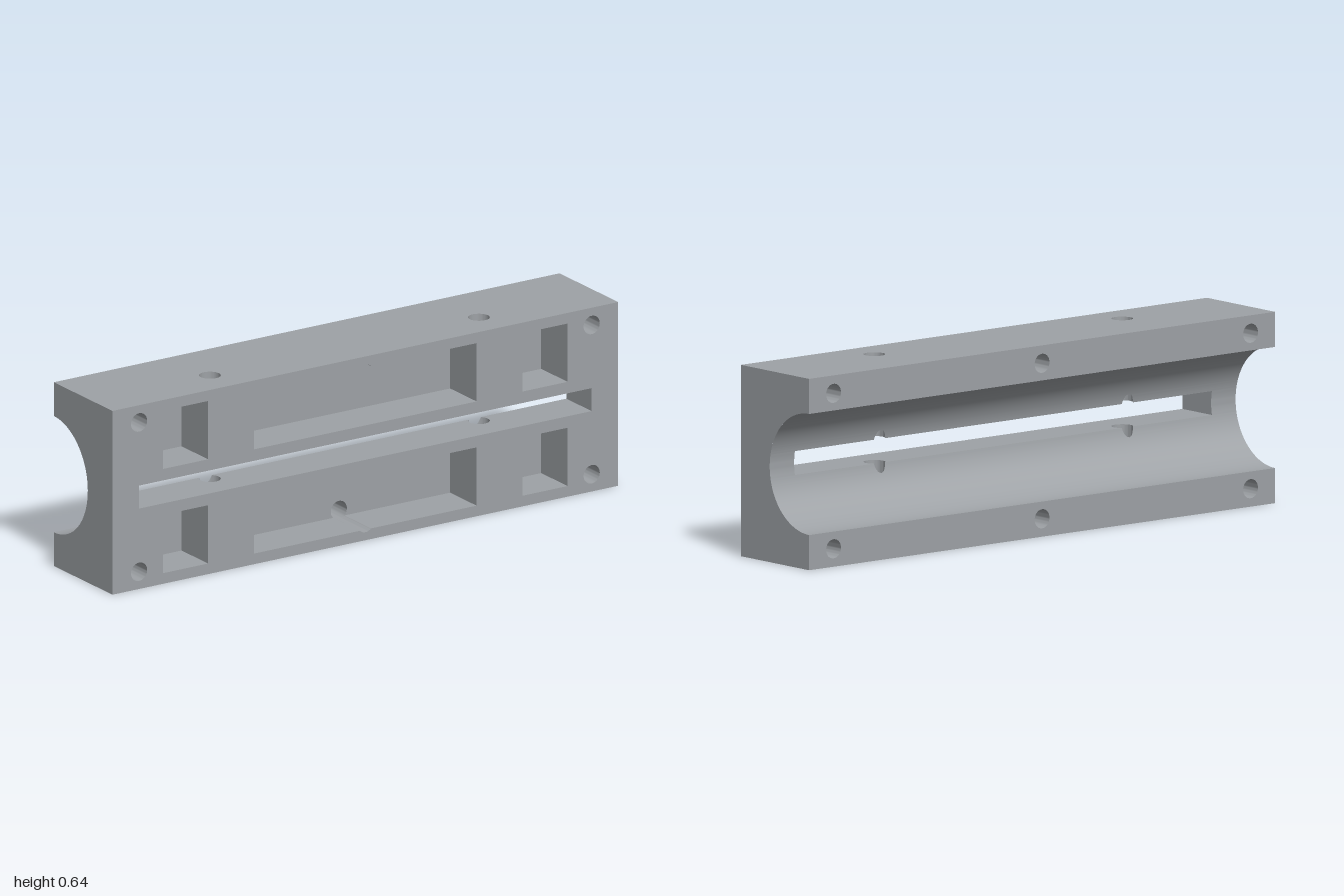
import * as THREE from 'three';
import { mergeGeometries, toCreasedNormals } from 'three/addons/utils/BufferGeometryUtils.js';

const H = 0.32, Z = 0.175;                  // half height, half depth
const R = 0.2025;                           // bore radius, axis on the back face
const SLOT_X = 0.895, SLOT_Y = 0.04;        // slot half sizes
const SCREW_Y = 0.26, SCREW_R = 0.032;      // screw holes along z
const PIN_X = 0.532, PIN_Z = 0.05, PIN_R = 0.036; // cross holes along y
const POCKET = { y0: 0.08, y1: 0.283, floor: 0.017 };

const V = (x, y, z) => new THREE.Vector3(x, y, z);
const V2 = (x, y) => new THREE.Vector2(x, y);
const steps = (a, b, n) => Array.from({ length: n + 1 }, (_, i) => a + (b - a) * i / n);

// Points on an arc
const arc = (x, y, r, a0, a1, n = 32) =>
  steps(a0, a1, n).map(a => V2(x + r * Math.cos(a), y + r * Math.sin(a)));
const circle = (x, y, r) => arc(x, y, r, 0, Math.PI * 2, 40).slice(0, -1);

// Ruled surface between two rows of points
function strip(a, b) {
  const p = [];
  for (let i = 0; i < a.length - 1; i++)
    for (const v of [a[i], a[i + 1], b[i + 1], a[i], b[i + 1], b[i]]) p.push(v.x, v.y, v.z);
  const g = new THREE.BufferGeometry();
  g.setAttribute('position', new THREE.Float32BufferAttribute(p, 3));
  return g;
}

// Inward facing wall of a hole with a counterclockwise outline
function holeWall(points, z0, z1) {
  const loop = [...points, points[0]];
  return strip(loop.map(p => V(p.x, p.y, z0)), loop.map(p => V(p.x, p.y, z1)));
}

function smooth(parts) {
  return toCreasedNormals(mergeGeometries(parts), Math.PI / 6);
}

// Flat face with holes, facing +z
function plate(points, holes = []) {
  const s = new THREE.Shape(points);
  s.holes = holes.map(h => new THREE.Path(h));
  return new THREE.ShapeGeometry(s);
}

const rect = (x0, y0, x1, y1) => [V2(x0, y0), V2(x1, y0), V2(x1, y1), V2(x0, y1)];

// Pocket outlines; the middle screw hole breaks the outer wall of the long pocket
const bumpA = Math.asin((POCKET.y1 - SCREW_Y) / SCREW_R);
function longPocket(a1) {
  const [p, q, r, s] = rect(-0.44, POCKET.y0, 0.44, POCKET.y1);
  return [p, q, r, ...arc(0, SCREW_Y, SCREW_R, bumpA, a1), s];
}
const longRim = longPocket(Math.PI - bumpA);
const longFloor = longPocket(-Math.PI - bumpA);
const smallRims = [[-0.8, -0.622], [0.622, 0.8]].map(([a, b]) => rect(a, POCKET.y0, b, POCKET.y1));
const cornerHoles = [-SLOT_X, SLOT_X].map(x => circle(x, SCREW_Y, SCREW_R));

// Bore helpers
const onBore = (x, t) => V(x, R * Math.sin(t), R * Math.cos(t) - Z);
const slotT = Math.asin(SLOT_Y / R);
const pinT = Math.acos((PIN_Z - PIN_R + Z) / R);
const notch = t => Math.sqrt(Math.max(0, PIN_R ** 2 - (R * Math.cos(t) - Z - PIN_Z) ** 2));

export function createModel() {
  const steel = new THREE.MeshStandardMaterial({ color: 0x9ea2a6 });
  steel.name = 'grey metal';
  const model = new THREE.Group();
  model.name = 'clampBlock';
  const body = new THREE.Group();
  body.name = 'body';
  body.position.y = H;
  model.add(body);

  const add = (parent, name, geometry) => {
    const m = new THREE.Mesh(geometry, steel);
    m.name = name;
    parent.add(m);
  };

  // Front face with all openings
  const rims = [longRim, ...smallRims, ...cornerHoles];
  const turned = rims.map(r => r.map(p => V2(-p.x, -p.y)));
  add(body, 'frontFace', plate(rect(-1, -H, 1, H),
    [rect(-SLOT_X, -SLOT_Y, SLOT_X, SLOT_Y), ...rims, ...turned]).translate(0, 0, Z));

  // Each half is the other one turned half way round the z axis
  for (const [name, turn] of [['upperHalf', 0], ['lowerHalf', Math.PI]]) {
    const half = new THREE.Group();
    half.name = name;
    half.rotation.z = turn;
    body.add(half);

    // Outer faces
    add(half, 'outerFace', plate(rect(-1, -Z, 1, Z),
      [-PIN_X, PIN_X].map(x => circle(x, -PIN_Z, PIN_R))).rotateX(-Math.PI / 2).translate(0, H, 0));
    add(half, 'backFace', plate(rect(-1, R, 1, H),
      [...cornerHoles, circle(0, SCREW_Y, SCREW_R)]).rotateY(Math.PI).translate(0, 0, -Z));
    add(half, 'endFace', plate([V2(-Z, -H), V2(Z, -H), V2(Z, H), V2(-Z, H),
      ...arc(-Z, 0, R, Math.PI / 2, -Math.PI / 2, 72)]).rotateY(-Math.PI / 2).translate(-1, 0, 0));

    // Bore wall, notched where the cross holes break through
    const ts = [...steps(slotT, pinT, 12), ...steps(pinT, Math.PI / 2, 28).slice(1)];
    const mid = steps(-slotT, slotT, 10);
    const edge = (f, list = ts) => list.map(t => onBore(f(t), t));
    add(half, 'boreWall', smooth([
      strip(edge(() => -1), edge(t => -PIN_X - notch(t))),
      strip(edge(t => -PIN_X + notch(t)), edge(t => PIN_X - notch(t))),
      strip(edge(t => PIN_X + notch(t)), edge(() => 1)),
      strip(edge(() => -1, mid), edge(() => -SLOT_X, mid)),
    ]));

    // Slot walls
    const zs = R * Math.cos(slotT) - Z;
    const a = Math.asin((zs - PIN_Z) / PIN_R);
    add(half, 'slotSide', plate([V2(-SLOT_X, zs),
      ...[-PIN_X, PIN_X].flatMap(x => arc(x, PIN_Z, PIN_R, Math.PI - a, a)),
      V2(SLOT_X, zs), V2(SLOT_X, Z), V2(-SLOT_X, Z)]).rotateX(Math.PI / 2).translate(0, SLOT_Y, 0));
    add(half, 'slotEnd', smooth([strip(edge(() => -SLOT_X, mid),
      mid.map(t => V(-SLOT_X, R * Math.sin(t), Z)))]));

    // Pockets
    add(half, 'pocketWalls', smooth([longRim, ...smallRims].map(r => holeWall(r, Z, POCKET.floor))));
    for (const f of [longFloor, ...smallRims])
      add(half, 'pocketFloor', plate(f).translate(0, 0, POCKET.floor));

    // Screw holes
    add(half, 'screwHoles', smooth([
      ...cornerHoles.map(c => holeWall(c, Z, -Z)),
      holeWall(circle(0, SCREW_Y, SCREW_R), POCKET.floor, -Z),
    ]));

    // Cross holes, ending at the slot or the bore
    const end = z => Math.max(SLOT_Y, Math.sqrt(Math.max(0, R ** 2 - (z + Z) ** 2)));
    add(half, 'crossHoles', smooth([-PIN_X, PIN_X].map(x => {
      const ring = steps(0, Math.PI * 2, 48).map(t => V(x + PIN_R * Math.sin(t), H, PIN_Z + PIN_R * Math.cos(t)));
      return strip(ring, ring.map(p => V(p.x, end(p.z), p.z)));
    })));
  }
  return model;
}
